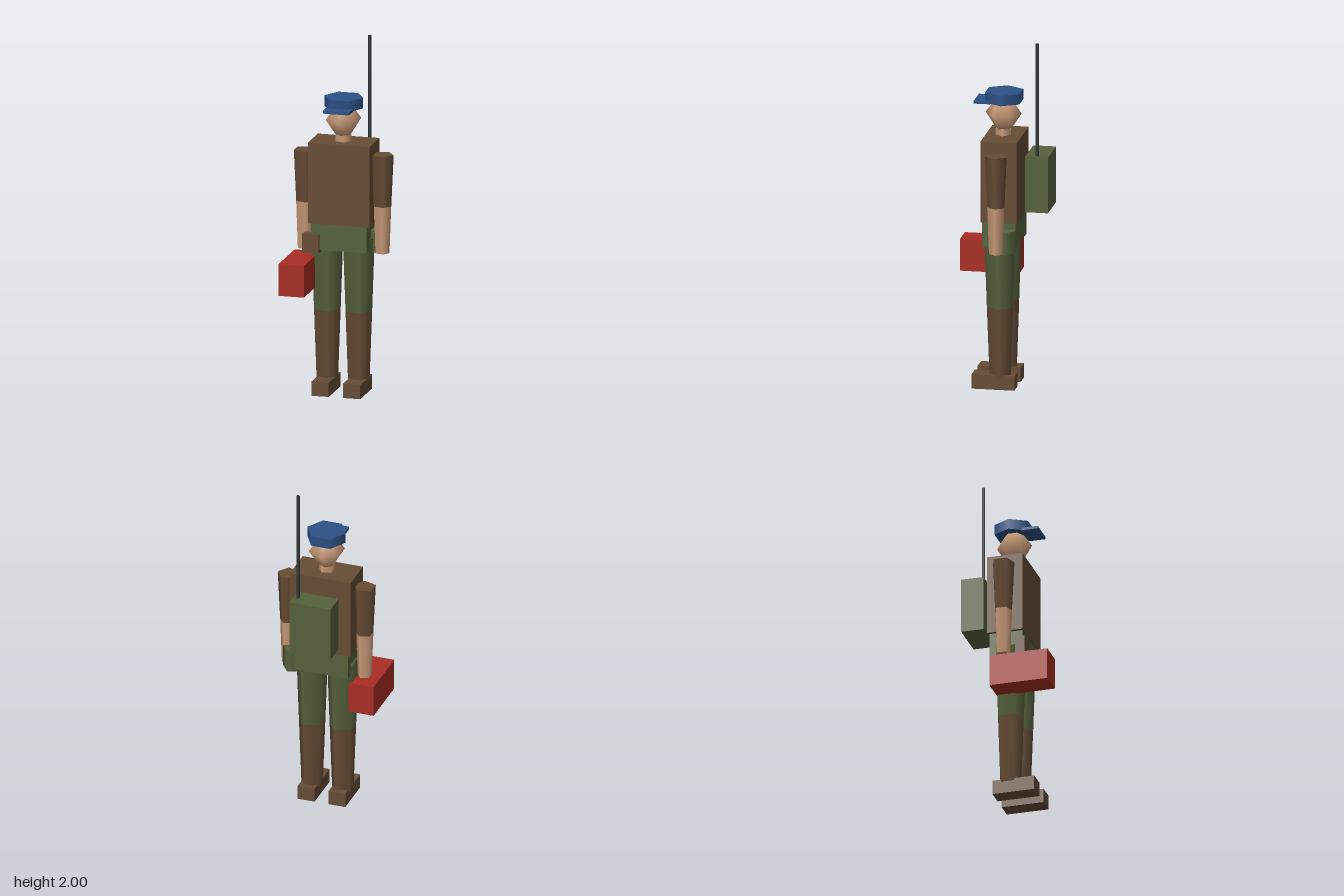
import * as THREE from 'three';

const paint = (name, color) => {
  const m = new THREE.MeshStandardMaterial({ color });
  m.name = name;
  return m;
};

export function createModel() {
  const brown = paint('brown leather', 0x664c36);
  const green = paint('olive green', 0x55613c);
  const skin = paint('skin', 0xc99a77);
  const red = paint('red', 0xa82d24);
  const blue = paint('cap blue', 0x2c5187);
  const dark = paint('dark metal', 0x363c3e);

  const model = new THREE.Group();
  model.name = 'radioOperator';

  const add = (name, geometry, material) => {
    const mesh = new THREE.Mesh(geometry, material);
    mesh.name = name;
    model.add(mesh);
    return mesh;
  };

  // Box given by its extents along each axis
  const box = (name, material, [x0, x1], [y0, y1], [z0, z1]) => {
    const mesh = add(name, new THREE.BoxGeometry(x1 - x0, y1 - y0, z1 - z0), material);
    mesh.position.set((x0 + x1) / 2, (y0 + y1) / 2, (z0 + z1) / 2);
  };

  // Upright prism with one corner pointing to +x
  const prism = (name, material, x, z, [y0, y1], rBottom, rTop, sides = 5) => {
    const g = new THREE.CylinderGeometry(rTop, rBottom, y1 - y0, sides, 1, false, Math.PI / 2);
    const mesh = add(name, g, material);
    mesh.position.set(x, (y0 + y1) / 2, z);
  };

  // Body
  box('torso', brown, [-0.175, 0.182], [0.975, 1.44], [-0.11, 0.095]);
  box('hips', green, [-0.157, 0.163], [0.825, 0.975], [-0.1, 0.09]);

  // Legs and boots
  for (const [side, x] of [['left', 0.091], ['right', -0.091]]) {
    prism(side + 'TrouserLeg', green, x, -0.003, [0.47, 0.89], 0.078, 0.093);
    prism(side + 'BootShaft', brown, x, -0.003, [0.07, 0.47], 0.063, 0.078);
    box(side + 'Foot', brown, [x - 0.047, x + 0.053], [0, 0.082], [-0.09, 0.153]);
  }

  // Arms
  for (const [side, x] of [['left', 0.228], ['right', -0.221]]) {
    prism(side + 'Sleeve', brown, x, -0.005, [1.08, 1.375], 0.051, 0.065);
    prism(side + 'Forearm', skin, x, -0.004, [0.81, 1.08], 0.041, 0.051);
  }

  // Neck and six-sided head
  prism('neck', skin, 0.003, -0.003, [1.42, 1.48], 0.047, 0.047);
  const profile = [[0, 1.474], [0.045, 1.478], [0.102, 1.565], [0.05, 1.638], [0, 1.645]]
    .map(([r, y]) => new THREE.Vector2(r, y));
  const head = add('head', new THREE.LatheGeometry(profile, 6), skin);
  head.position.set(0.003, 0, -0.003);

  // Cap
  prism('capCrown', blue, 0.004, -0.006, [1.632, 1.692], 0.112, 0.112, 6);
  box('capPeak', blue, [-0.072, 0.078], [1.629, 1.645], [0.06, 0.153]);

  // Belt items and carried case
  box('beltPouch', brown, [-0.203, -0.108], [0.81, 0.918], [0.06, 0.115]);
  prism('canteen', green, 0.18, -0.048, [0.81, 0.937], 0.065, 0.065);
  box('carryCase', red, [-0.295, -0.147], [0.595, 0.777], [-0.061, 0.275]);

  // Radio pack
  box('radioPack', green, [-0.118, 0.125], [1.03, 1.35], [-0.277, -0.147]);
  prism('antenna', dark, 0.097, -0.212, [1.34, 2], 0.0095, 0.0095, 4);

  return model;
}
